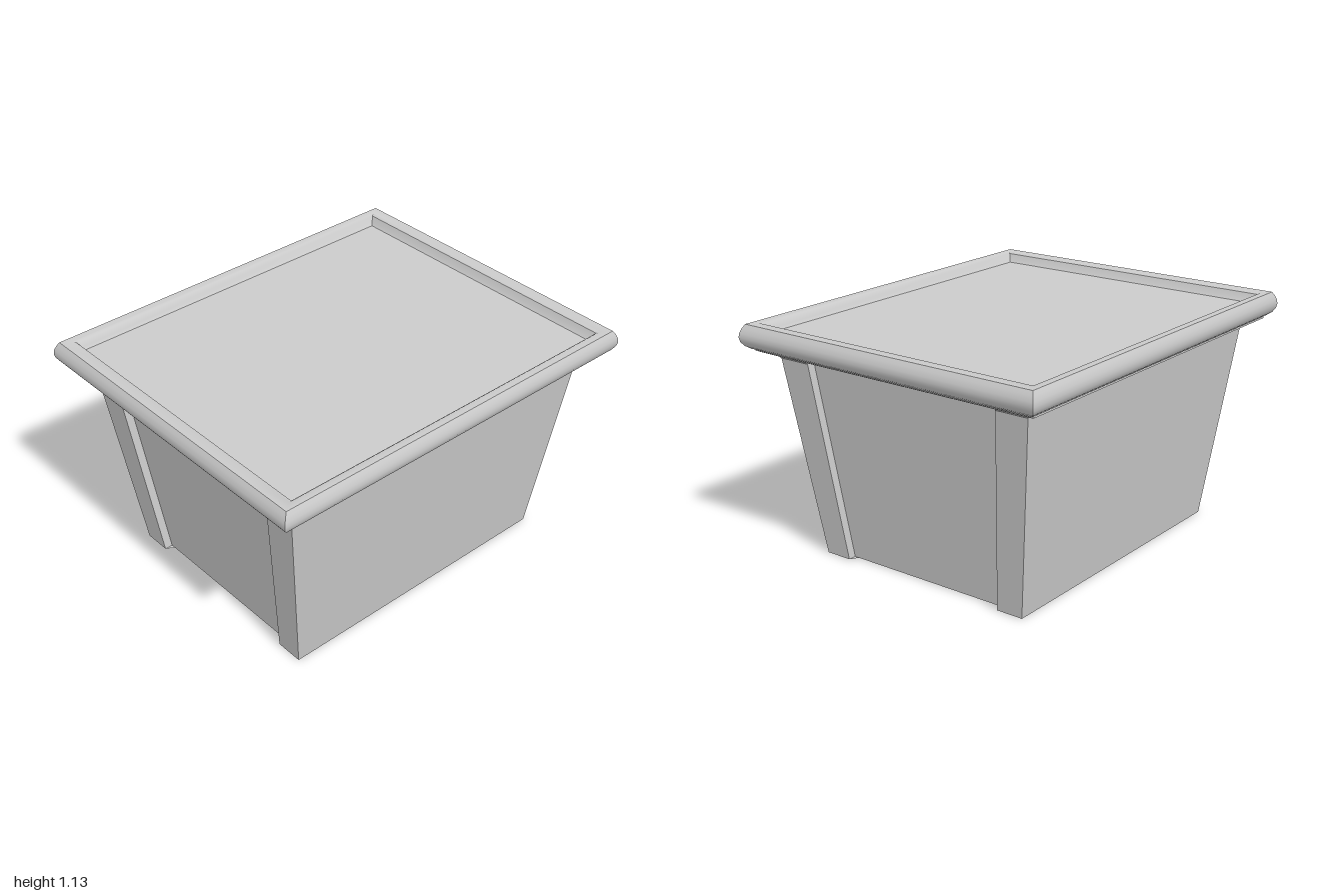
import * as THREE from 'three';
import { toCreasedNormals } from 'three/addons/utils/BufferGeometryUtils.js';

// Rectangular outline, optionally notched on the front and back faces
function outline(hx, hz, y, nx = hx * 0.7, depth = 0) {
  const half = [
    [hx, hz], [hx, -hz], [nx, -hz], [nx, -hz + depth], [-nx, -hz + depth], [-nx, -hz],
  ];
  const other = half.map(([x, z]) => [-x, -z]);
  return [...half, ...other].map(([x, z]) => new THREE.Vector3(x, y, z));
}

// Joins successive outlines with faces and closes both ends with a fan
function loft(rings, crease) {
  const pos = [];
  const area = new THREE.Triangle();
  const tri = (a, b, c) => {
    area.set(a, b, c);
    if (area.getArea() > 1e-7) for (const p of [a, b, c]) pos.push(p.x, p.y, p.z);
  };
  const centre = (ring) => ring.map(() => new THREE.Vector3(0, ring[0].y, 0));
  const all = [centre(rings[0]), ...rings, centre(rings[rings.length - 1])];
  for (let i = 0; i < all.length - 1; i++) {
    const lo = all[i], hi = all[i + 1], n = lo.length;
    for (let j = 0; j < n; j++) {
      const k = (j + 1) % n;
      tri(lo[j], lo[k], hi[k]);
      tri(lo[j], hi[k], hi[j]);
    }
  }
  const geo = new THREE.BufferGeometry();
  geo.setAttribute('position', new THREE.Float32BufferAttribute(pos, 3));
  return toCreasedNormals(geo, crease);
}

export function createModel() {
  const group = new THREE.Group();
  const material = new THREE.MeshStandardMaterial({ color: 0xcccccc });
  const add = (name, rings, crease = 0.1) => {
    const mesh = new THREE.Mesh(loft(rings, crease), material);
    mesh.name = name;
    group.add(mesh);
  };

  // Tapered tub: hollow underside, recessed end panels, flared top
  add('tub', [
    outline(0.475, 0.635, 0.075, 0.37),
    outline(0.485, 0.645, 0, 0.38),
    outline(0.575, 0.745, 0, 0.44, 0.04),
    outline(0.695, 0.865, 0.97, 0.53, 0.04),
    outline(0.725, 0.905, 1.005, 0.55, 0.04),
    outline(0.735, 0.915, 1.025, 0.56, 0.04),
  ]);

  // Thin lip around the top of the tub
  add('tubLip', [
    outline(0.765, 0.925, 1.0),
    outline(0.78, 0.94, 1.008),
    outline(0.78, 0.94, 1.03),
  ]);

  // Lid: rounded border [x half, z half, height] dropping to a sunken top
  const lidProfile = [
    [0.785, 0.96, 1.02], [0.805, 0.982, 1.035], [0.816, 0.996, 1.055],
    [0.82, 1.0, 1.075], [0.818, 0.997, 1.095], [0.81, 0.987, 1.117],
    [0.8, 0.975, 1.135], [0.765, 0.925, 1.135], [0.755, 0.912, 1.128],
    [0.745, 0.9, 1.1], [0.735, 0.89, 1.087],
  ];
  add('lid', lidProfile.map(([x, z, y]) => outline(x, z, y)), 0.65);

  return group;
}
